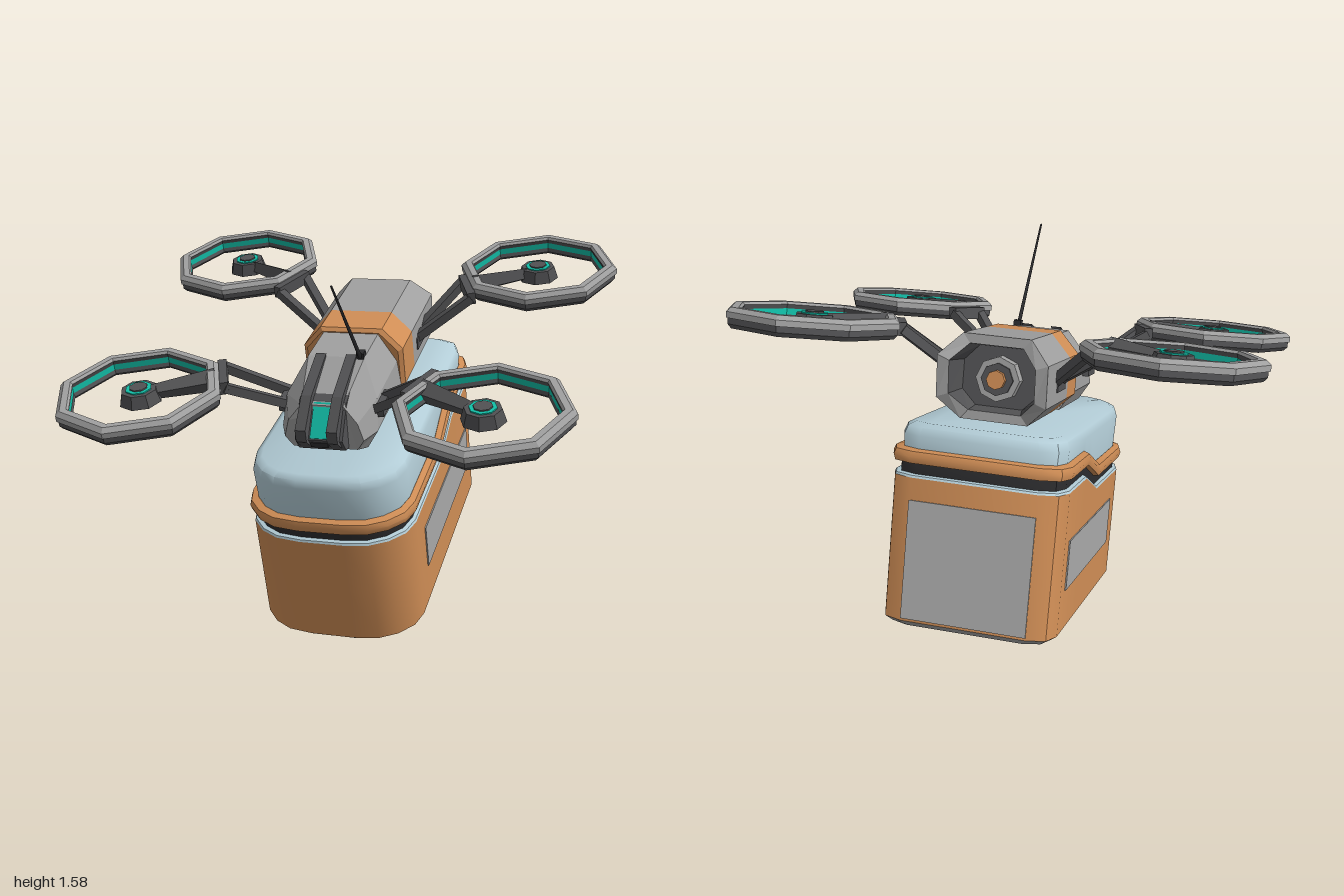
import * as THREE from 'three';
import { toCreasedNormals } from 'three/addons/utils/BufferGeometryUtils.js';

const mat = (name, color) => {
  const m = new THREE.MeshStandardMaterial({ color });
  m.name = name;
  return m;
};

// Skin between closed loops of [x, y, z]; optional caps on first and last loop
function loft(loops, capStart = false, capEnd = false) {
  const p = [], n = loops[0].length;
  const tri = (a, b, c) => p.push(...a, ...b, ...c);
  for (let k = 0; k < loops.length - 1; k++) {
    for (let i = 0; i < n; i++) {
      const j = (i + 1) % n, lo = loops[k], hi = loops[k + 1];
      tri(lo[i], hi[i], hi[j]);
      tri(lo[i], hi[j], lo[j]);
    }
  }
  const first = loops[0], last = loops[loops.length - 1];
  for (let i = 1; i < n - 1; i++) {
    if (capStart) tri(first[0], first[i], first[i + 1]);
    if (capEnd) tri(last[0], last[i + 1], last[i]);
  }
  const g = new THREE.BufferGeometry();
  g.setAttribute('position', new THREE.Float32BufferAttribute(p, 3));
  g.computeVertexNormals();
  return g;
}

const flat = (geo) => {
  const g = geo.index ? geo.toNonIndexed() : geo;
  g.computeVertexNormals();
  return g;
};

export function createModel() {
  const orange = mat('orange', 0xd08e56), grey = mat('light grey', 0xa0a0a0);
  const panel = mat('panel grey', 0xa9a9a9), dark = mat('dark grey', 0x525254);
  const black = mat('black', 0x2c2c2e), lid = mat('pale blue', 0xb4ced8);
  const cyan = mat('cyan', 0x12bfa8);

  const root = new THREE.Group();
  root.name = 'deliveryDrone';
  const tilted = new THREE.Group();
  tilted.name = 'tiltedBody';
  tilted.rotation.x = THREE.MathUtils.degToRad(19.3);
  root.add(tilted);

  const add = (name, geo, material, parent = tilted) => {
    const m = new THREE.Mesh(geo, material);
    m.name = name;
    parent.add(m);
    return m;
  };
  const box = (name, size, pos, material, parent) => {
    const m = add(name, new THREE.BoxGeometry(...size), material, parent);
    m.position.set(...pos);
    return m;
  };
  // Square bar from a to b
  const bar = (name, a, b, w, h, material, parent) => {
    const A = new THREE.Vector3(...a), B = new THREE.Vector3(...b);
    const m = box(name, [w, h, A.distanceTo(B)], A.clone().lerp(B, 0.5).toArray(), material, parent);
    m.quaternion.setFromRotationMatrix(new THREE.Matrix4().lookAt(A, B, new THREE.Vector3(0, 1, 0)));
    return m;
  };

  // ---- Cargo box: one outline, stacked rows of [inset, height, share of the step]
  const half = [[0.24, -1.02], [0.31, -0.99], [0.335, -0.92], [0.335, -0.62], [0.335, -0.5],
    [0.335, -0.38], [0.335, -0.1], [0.335, 0.06], [0.315, 0.14], [0.26, 0.205], [0.19, 0.245], [0.09, 0.26]];
  const outline = [...half, ...half.map(([x, z]) => [-x, z]).reverse()];
  const step = (z) => 0.085 * THREE.MathUtils.clamp((-0.38 - z) / 0.24, 0, 1);
  const row = ([inset, y, s = 0]) => outline.map(([x, z]) =>
    [x * (1 - inset / 0.335), y + s * step(z), -0.38 + (z + 0.38) * (1 - inset / 0.64)]);
  const shell = (name, rows, material, capStart, capEnd) =>
    add(name, toCreasedNormals(loft(rows.map(row), capStart, capEnd), 0.75), material);

  shell('boxBase', [[0.025, 0.078], [0, 0.1]], grey, true);
  shell('boxBody', [[0, 0.1], [0, 0.33, 0.5], [0, 0.558, 1]], orange);
  shell('boxLiner', [[0, 0.558, 1], [0.004, 0.566, 1], [0.018, 0.57, 1]], lid);
  shell('sealGap', [[0.018, 0.57, 1], [0.018, 0.608, 1]], black);
  shell('lidRim', [[0.018, 0.608, 1], [-0.003, 0.612, 1], [-0.009, 0.635, 1], [-0.002, 0.656, 1],
    [0.022, 0.663, 1], [0.03, 0.655, 1]], orange);
  shell('lidDome', [[0.024, 0.645, 1], [0.02, 0.795], [0.03, 0.825], [0.055, 0.84]], lid, false, true);

  for (const s of [-1, 1]) box('sidePanel', [0.008, 0.19, 0.8], [s * 0.336, 0.355, -0.452], panel);
  box('backPanel', [0.48, 0.45, 0.008], [0, 0.335, -1.021], panel);

  // ---- Drone hull: mirrored half sections, lofted from back to front
  const section = (pts, z, k = 1) => {
    const h = pts.map(([x, y], i) => [x * k, 1.01 + (y - 1.01) * k, Array.isArray(z) ? z[i] : z]);
    return [...h, ...h.map(([x, y, w]) => [-x, y, w]).reverse()];
  };
  const hull = [[0.13, 1.175], [0.21, 1.09], [0.21, 0.93], [0.13, 0.85]];
  const tail = [-0.86, -0.905, -0.885, -0.82];
  add('tailRecess', loft([section(hull, -0.76, 0.7), section(hull, tail, 0.78)], true), dark);
  add('rearHull', loft([section(hull, tail, 0.78), section(hull, tail), section(hull, -0.54)]), grey);
  add('hullBand', loft([section(hull, -0.54), section(hull, -0.385),
    section(hull, -0.37, 0.92)], false, true), orange);

  const front = [[0.115, 1.158], [0.185, 1.04], [0.195, 0.93], [0.15, 0.856]];
  const snout = [[0.085, 1.065], [0.14, 1.0], [0.16, 0.93], [0.13, 0.885]];
  add('frontHull', loft([section(front, -0.38), section(front, -0.17),
    section(front, [-0.165, -0.06, 0.0, 0.005]), section(snout, [0.06, 0.075, 0.08, 0.075])], true, true), grey);

  // Tail light
  for (const [name, r, z, m] of [['tailCollar', 0.085, -0.78, grey], ['tailSocket', 0.062, -0.79, dark],
    ['tailLight', 0.036, -0.81, orange]]) {
    const c = add(name, flat(new THREE.CylinderGeometry(r, r, 0.06, 8)), m);
    c.rotation.x = Math.PI / 2;
    c.position.set(0, 1.01, z);
  }

  // Nose: side profile extruded across, with a lit visor between two ridges
  const slab = (name, profile, x, w, material) => {
    const s = new THREE.Shape(profile.map(([z, y]) => new THREE.Vector2(-z, y)));
    const g = new THREE.ExtrudeGeometry(s, { depth: w, bevelEnabled: false });
    g.translate(0, 0, -w / 2).rotateY(Math.PI / 2);
    add(name, g, material).position.x = x;
  };
  slab('noseCore', [[-0.14, 1.14], [0.04, 1.075], [0.145, 0.96], [0.11, 0.9], [0, 0.88]], 0, 0.19, dark);
  for (const s of [-1, 1]) {
    slab('noseRidge', [[-0.17, 1.168], [0.05, 1.1], [0.165, 1.01], [0.165, 0.96], [0.1, 0.895], [0, 0.88]],
      s * 0.062, 0.042, dark);
  }
  bar('visor', [0, 1.07, 0.046], [0, 0.965, 0.142], 0.07, 0.008, cyan);
  box('noseVent', [0.07, 0.02, 0.01], [0, 0.935, 0.135], black);

  // Antenna
  box('antennaBase', [0.03, 0.04, 0.035], [0.1, 1.16, -0.175], black);
  const a0 = new THREE.Vector3(0.1, 1.15, -0.17), a1 = new THREE.Vector3(0.1, 1.577, 0.083);
  const up = new THREE.Vector3(0, 1, 0), dir = a1.clone().sub(a0);
  const antenna = add('antenna', new THREE.CylinderGeometry(0.004, 0.008, dir.length(), 6), black);
  antenna.position.copy(a0).lerp(a1, 0.5);
  antenna.quaternion.setFromUnitVectors(up, dir.clone().normalize());

  // ---- Rotor rings with hubs, and the paired struts that carry them
  const ringGeo = (pts) => flat(new THREE.LatheGeometry(pts.map(([r, y]) => new THREE.Vector2(r, y)), 8));
  const ringTop = ringGeo([[0.333, 0], [0.333, 0.022], [0.315, 0.038], [0.288, 0.038], [0.28, 0.028]]);
  const ringLow = ringGeo([[0.28, -0.028], [0.288, -0.038], [0.312, -0.038], [0.326, -0.022], [0.326, 0], [0.333, 0]]);
  const ringInner = ringGeo([[0.28, 0.028], [0.286, 0.012], [0.286, -0.012], [0.28, -0.028]]);
  const ringLight = ringGeo([[0.284, 0.012], [0.284, -0.012]]);
  const hubGeo = flat(new THREE.CylinderGeometry(0.07, 0.085, 0.05, 8));
  const hubLight = flat(new THREE.CylinderGeometry(0.052, 0.052, 0.012, 8));
  const hubCap = flat(new THREE.CylinderGeometry(0.036, 0.042, 0.07, 8));

  for (const s of [-1, 1]) {
    for (const f of [1, -1]) {
      const zc = f > 0 ? 0.235 : -0.987;
      const rotor = new THREE.Group();
      rotor.name = (f > 0 ? 'front' : 'rear') + (s > 0 ? 'Left' : 'Right') + 'Rotor';
      rotor.position.set(s * 0.665, 1.172, zc);
      tilted.add(rotor);
      add('ringTop', ringTop, grey, rotor);
      add('ringUnderside', ringLow, dark, rotor);
      add('ringInside', ringInner, dark, rotor);
      add('ringLight', ringLight, cyan, rotor);
      add('hub', hubGeo, dark, rotor);
      add('hubLight', hubLight, cyan, rotor).position.y = 0.024;
      add('hubCap', hubCap, dark, rotor);

      // Tapered arm from the ring to the hub
      const arm = flat(new THREE.CylinderGeometry(0.028, 0.046, 0.26, 4).rotateY(Math.PI / 4));
      const armMesh = add('hubArm', arm, dark, rotor);
      const d = new THREE.Vector3(s * 0.87, 0, f * 0.49).normalize();
      armMesh.quaternion.setFromUnitVectors(up, d);
      armMesh.position.copy(d).multiplyScalar(-0.165);

      // Struts and their root block
      const inner = f > 0 ? -0.14 : -0.63, outer = f > 0 ? -0.05 : -0.7;
      const at = (x, y, z) => [s * x, y, z];
      bar('strut', at(0.18, 1.0, inner), at(0.425, 1.165, zc - f * 0.265), 0.035, 0.035, dark);
      bar('strut', at(0.18, 1.0, outer), at(0.36, 1.165, zc - f * 0.1), 0.035, 0.035, dark);
      box('strutRoot', [0.04, 0.05, 0.13], at(0.195, 1.0, (inner + outer) / 2), dark);
      bar('ringBracket', at(0.43, 1.165, zc - f * 0.275), at(0.355, 1.165, zc - f * 0.09), 0.035, 0.05, dark);
    }
  }
  return root;
}
